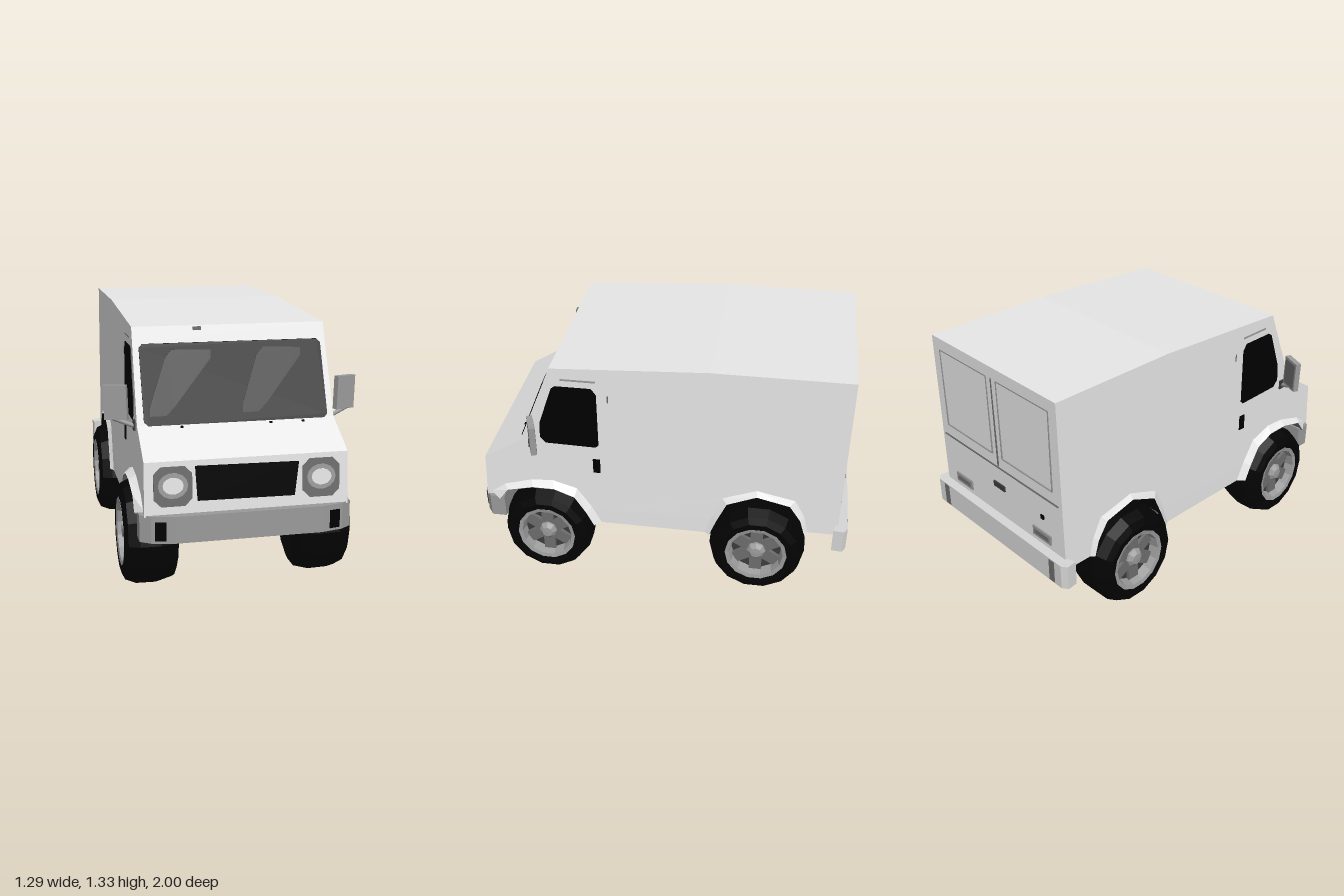
import * as THREE from 'three';

const mat = (name, color, side = THREE.FrontSide) => {
  const m = new THREE.MeshStandardMaterial({ color, side });
  m.name = name;
  return m;
};

export function createModel() {
  const van = new THREE.Group();
  van.name = 'deliveryVan';
  const M = {
    body: mat('body white', 0xe9e9e9, THREE.DoubleSide),
    trim: mat('bumper grey', 0x9a9a9a),
    pale: mat('pale grey', 0xd6d6d6),
    glass: mat('black glass', 0x000000),
    glare: mat('glass sheen', 0x3a3a3a),
    rubber: mat('tyre black', 0x030303, THREE.DoubleSide),
    under: mat('underbody grey', 0x747474, THREE.DoubleSide),
    rim: mat('rim grey', 0x9c9c9c),
    lamp: mat('lamp grey', 0x6e6e6e),
    lens: mat('lens white', 0xffffff),
  };

  const add = (name, geo, material, parent = van) => {
    const m = new THREE.Mesh(geo, material);
    m.name = name;
    parent.add(m);
    return m;
  };
  const shapeOf = (pts) => new THREE.Shape(pts.map(([x, y]) => new THREE.Vector2(x, y)));
  const extrude = (pts, depth) =>
    new THREE.ExtrudeGeometry(shapeOf(pts), { depth, bevelEnabled: false });
  // (z, y) outline pushed along x from x0 to x1
  const sideways = (pts, x0, x1) => extrude(pts, x1 - x0).rotateY(-Math.PI / 2).translate(x1, 0, 0);
  // (x, z) outline pushed up from y0 to y1
  const upward = (pts, y0, y1) =>
    extrude(pts.map(([x, z]) => [x, -z]), y1 - y0).rotateX(-Math.PI / 2).translate(0, y0, 0);
  // (x, y) outline as a thin plate following a sloping face z = f(y)
  const facePlate = (pts, f, lift = 0) => {
    const g = extrude(pts, 0.006);
    const p = g.attributes.position;
    for (let i = 0; i < p.count; i++) p.setZ(i, p.getZ(i) + f(p.getY(i)) + lift);
    g.computeVertexNormals();
    return g;
  };
  const box = (w, h, d, x, y, z) => new THREE.BoxGeometry(w, h, d).translate(x, y, z);
  const oval = (cx, cy, rx, ry, n = 14) => Array.from({ length: n }, (_, i) => {
    const a = (i / n) * Math.PI * 2;
    return [cx + rx * Math.cos(a), cy + ry * Math.sin(a)];
  });
  const rect = (x0, x1, y0, y1, c) => [
    [x0 + c, y0], [x1 - c, y0], [x1, y0 + c], [x1, y1 - c],
    [x1 - c, y1], [x0 + c, y1], [x0, y1 - c], [x0, y0 + c]];
  // surface between two (z, y) lines at different x
  const strip = (a, xa, b, xb) => {
    const v = [];
    for (let i = 0; i < a.length - 1; i++) {
      const A = [xa, a[i][1], a[i][0]], B = [xb, b[i][1], b[i][0]];
      const C = [xb, b[i + 1][1], b[i + 1][0]], D = [xa, a[i + 1][1], a[i + 1][0]];
      v.push(...A, ...B, ...C, ...A, ...C, ...D);
    }
    const g = new THREE.BufferGeometry();
    g.setAttribute('position', new THREE.Float32BufferAttribute(v, 3));
    g.computeVertexNormals();
    return g;
  };
  const rod = (from, to, r) => new THREE.TubeGeometry(
    new THREE.LineCurve3(new THREE.Vector3(...from), new THREE.Vector3(...to)), 1, r, 8);

  // Wheel arch lines, front to back: opening and flare root
  const arches = [
    { lip: [[0.88, 0.46], [0.83, 0.53], [0.69, 0.565], [0.57, 0.565], [0.46, 0.52], [0.4, 0.42], [0.36, 0.335]],
      root: [[0.94, 0.48], [0.855, 0.545], [0.7, 0.592], [0.58, 0.6], [0.45, 0.56], [0.37, 0.44], [0.32, 0.335]],
      name: 'front', out: 0.535, lining: M.under },
    { lip: [[-0.27, 0.335], [-0.31, 0.44], [-0.36, 0.555], [-0.515, 0.622], [-0.69, 0.58], [-0.75, 0.49], [-0.775, 0.405]],
      root: [[-0.235, 0.335], [-0.275, 0.46], [-0.33, 0.585], [-0.515, 0.655], [-0.72, 0.612], [-0.775, 0.51], [-0.8, 0.405]],
      name: 'rear', out: 0.518, lining: M.rubber },
  ];

  // Body shell, slightly narrower towards the roof, with skirts around a recessed floor
  const bodyGeo = sideways([
    [-0.95, 0.405], [-0.957, 1.34], [-0.25, 1.34], [0.555, 1.295], [0.585, 1.22], [0.74, 0.845],
    [0.945, 0.72], [0.96, 0.46], ...arches[0].lip.slice(0, 6), ...arches[1].lip.slice(1)], -0.5, 0.5);
  const bp = bodyGeo.attributes.position;
  for (let i = 0; i < bp.count; i++) {
    bp.setX(i, bp.getX(i) * (1 - 0.024 * Math.max(0, bp.getY(i) - 0.45) / 0.9));
  }
  bodyGeo.computeVertexNormals();
  add('bodyShell', bodyGeo, M.body);
  const skirt = [[0.36, 0.335], [0.4, 0.42], [-0.31, 0.44], [-0.27, 0.335]];
  for (const s of [1, -1]) {
    add('sideSkirt', sideways(skirt, s * 0.495 - 0.005, s * 0.495 + 0.005), M.body);
    add('skirtLining', sideways(skirt, s * 0.486 - 0.004, s * 0.486 + 0.004), M.under);
  }

  // Flares, wheel wells
  for (const { lip, root, name, out, lining } of arches) {
    for (const s of [1, -1]) add(name + 'Flare', strip(root, s * 0.494, lip, s * out), M.body);
    const inner = lip.map(([z, y]) => [z, y - 0.004]);
    add(name + 'WheelWell', strip(inner, 0.002 - out, inner, out - 0.002), lining);
    add(name + 'WellCore', sideways(inner, -0.28, 0.28), M.under);
    for (const s of [1, -1]) {
      add(name + 'WellWall', sideways(inner, s * 0.284 - 0.003, s * 0.284 + 0.003), M.rubber);
    }
  }

  // Windscreen, sheen, nose details
  const screen = (y) => 0.585 + (1.22 - y) * 0.4133;
  const nose = (y) => 0.945 + (0.72 - y) * 0.0577;
  add('windscreen', facePlate(rect(-0.46, 0.462, 0.842, 1.215, 0.018), screen), M.glass);
  for (const dx of [0, 0.46]) {
    add('screenSheen', facePlate([[-0.43 + dx, 0.885], [-0.35 + dx, 0.885], [-0.3 + dx, 0.93], [-0.11 + dx, 1.14],
      [-0.105 + dx, 1.18], [-0.3 + dx, 1.185], [-0.335 + dx, 1.15], [-0.425 + dx, 0.93]], screen, 0.003), M.glare);
  }
  for (const x of [-0.28, 0.165, 0.33]) add('wiperPivot', box(0.014, 0.02, 0.014, x, 0.828, 0.757), M.glass);
  add('roofMarker', box(0.04, 0.018, 0.012, -0.165, 1.28, 0.56), M.lamp);
  add('grille', facePlate([[-0.245, 0.525], [0.23, 0.52], [0.25, 0.685], [-0.255, 0.692]], nose), M.glass);
  for (const s of [1, -1]) {
    add('headlampHousing', facePlate(rect(s * 0.362 - 0.092, s * 0.362 + 0.092, 0.505, 0.695, 0.035), nose), M.lamp);
    add('headlampRing', facePlate(oval(s * 0.362, 0.605, 0.072, 0.062), nose, 0.003), M.rim);
    add('headlampLens', facePlate(oval(s * 0.362, 0.605, 0.05, 0.04), nose, 0.006), M.lens);
  }

  // Bumpers
  add('frontBumper', upward([[-0.52, 0.86], [-0.52, 0.94], [-0.47, 0.975], [-0.36, 1], [0.36, 1],
    [0.47, 0.975], [0.52, 0.94], [0.52, 0.86]], 0.335, 0.467), M.trim);
  add('rearBumper', upward([[-0.545, -0.925], [-0.55, -0.98], [-0.52, -1], [0.52, -1], [0.55, -0.98],
    [0.545, -0.925], [0.49, -0.94], [-0.49, -0.94]], 0.335, 0.47), M.pale);
  for (const s of [1, -1]) {
    const pad = add('bumperPad', box(0.053, 0.09, 0.008, 0, 0, 0), M.glass);
    pad.position.set(s * 0.427, 0.395, 0.987);
    pad.rotation.y = s * 0.224;
    add('rearBumperPad', box(0.04, 0.125, 0.006, s * 0.45, 0.402, -0.999), M.lamp);
  }

  // Cab sides: windows, handles, door marks, mirrors
  for (const s of [1, -1]) {
    const win = add('sideWindow', sideways([[0.32, -0.165], [0.335, -0.18], [0.6, -0.175], [0.63, -0.14],
      [0.625, -0.05], [0.55, 0.16], [0.53, 0.175], [0.345, 0.175], [0.32, 0.14]], -0.004, 0.004), M.glass);
    win.position.set(s * 0.4922, 1.02, 0);
    win.rotation.z = s * 0.0133;
    add('doorHandle', box(0.016, 0.085, 0.038, s * 0.494, 0.72, 0.335), M.glass);
    add('doorHinge', box(0.006, 0.04, 0.006, s * 0.49, 1.14, 0.262), M.lamp);
    add('gutterMark', box(0.006, 0.01, 0.18, s * 0.4885, 1.235, 0.41), M.rim);
    const mirror = new THREE.Group();
    mirror.name = 'doorMirror';
    mirror.position.set(s * 0.583, 0.945, 0.645);
    mirror.rotation.set(0, s * 0.38, -s * 0.03);
    add('mirrorCase', box(0.115, 0.17, 0.03, 0, 0, 0), M.rim, mirror);
    add('mirrorGlass', box(0.095, 0.145, 0.006, 0, 0, -0.014), M.lamp, mirror);
    van.add(mirror);
    add('mirrorArm', rod([s * 0.485, 0.825, 0.68], [s * 0.6, 0.868, 0.645], 0.011), M.trim);
    add('mirrorBracket', box(0.02, 0.05, 0.04, s * 0.494, 0.835, 0.675), M.glare);
  }

  // Rear doors: pressed panel frames, seams, handle, lamps
  const back = (name, w, h, x, y, m, out = 0) => add(name, box(w, h, 0.008, x, y, -0.955 - out), m);
  for (const s of [1, -1]) {
    for (const y of [0.84, 1.275]) back('panelEdge', 0.39, 0.006, s * 0.235, y, M.trim);
    for (const x of [0.04, 0.43]) back('panelEdge', 0.006, 0.44, s * x, 1.0575, M.trim);
    back('tailLamp', 0.14, 0.055, s * 0.33, 0.53, M.trim);
    back('tailLens', 0.11, 0.025, s * 0.33, 0.53, M.lamp, 0.003);
  }
  back('centreSeam', 0.007, 0.5, 0, 1.03, M.lamp);
  back('doorSeam', 0.94, 0.006, 0, 0.77, M.lamp);
  back('tailHandle', 0.09, 0.03, 0, 0.66, M.glare, 0.004);
  back('tailLock', 0.022, 0.022, -0.34, 0.645, M.glass);

  // Underbody: floors, front crossmember, rails, shaft, axles
  add('floor', box(0.97, 0.012, 0.7, 0, 0.414, 0.045), M.under);
  add('rearFloor', box(0.97, 0.012, 0.16, 0, 0.408, -0.865), M.under);
  add('frontFloor', box(0.94, 0.1, 0.09, 0, 0.41, 0.91), M.under);
  add('crossmember', sideways([[0.85, 0.37], [0.72, 0.265], [0.5, 0.255], [0.2, 0.345]], -0.3, 0.3), M.under);
  for (const s of [1, -1]) add('frameRail', box(0.05, 0.06, 1.2, s * 0.24, 0.37, -0.15), M.under);
  add('driveShaft', rod([0, 0.36, 0.4], [0, 0.335, -0.53], 0.024), M.lamp);
  add('exhaustPipe', rod([0.14, 0.365, 0.4], [0.16, 0.36, -0.8], 0.02), M.lamp);
  add('differential', new THREE.SphereGeometry(0.065, 8, 6).translate(0, 0.31, -0.53), M.under);
  for (const z of [0.622, -0.53]) add('axle', rod([-0.4, 0.285, z], [0.4, 0.285, z], 0.033), M.lamp);

  // Wheels: faceted tyre, dished rim, spokes and hub
  const lathe = (pts, n) => {
    const g = new THREE.LatheGeometry(pts.map(([r, y]) => new THREE.Vector2(r, y)), n)
      .rotateZ(-Math.PI / 2).toNonIndexed();
    g.computeVertexNormals();
    return g;
  };
  const tyre = lathe([[0.04, -0.1], [0.13, -0.11], [0.215, -0.135], [0.25, -0.12], [0.272, -0.04], [0.27, 0.06],
    [0.247, 0.115], [0.21, 0.132], [0.176, 0.13], [0.17, 0.09]], 14);
  const rim = lathe([[0.172, 0.1], [0.175, 0.131], [0.153, 0.126], [0.14, 0.075]], 14);
  const dish = lathe([[0.143, 0.074], [0.05, 0.066], [0, 0.066]], 14);
  const hub = lathe([[0.06, 0.06], [0.052, 0.1], [0.032, 0.118], [0, 0.12]], 8);
  for (const z of [0.622, -0.53]) {
    for (const s of [1, -1]) {
      const wheel = new THREE.Group();
      wheel.name = (z > 0 ? 'front' : 'rear') + (s > 0 ? 'Left' : 'Right') + 'Wheel';
      wheel.position.set(s * 0.444, 0.276, z);
      wheel.rotation.y = s > 0 ? 0 : Math.PI;
      wheel.scale.z = z > 0 ? 0.91 : 0.95;
      add('tyre', tyre, M.rubber, wheel);
      add('rimRing', rim, M.rim, wheel);
      add('rimDish', dish, M.glare, wheel);
      add('hub', hub, M.rim, wheel);
      for (let i = 0; i < 6; i++) {
        const spoke = add('spoke', box(0.03, 0.1, 0.07, 0.075, 0.09, 0), M.lamp, wheel);
        spoke.rotation.x = (i * Math.PI) / 3;
      }
      van.add(wheel);
    }
  }
  return van;
}
